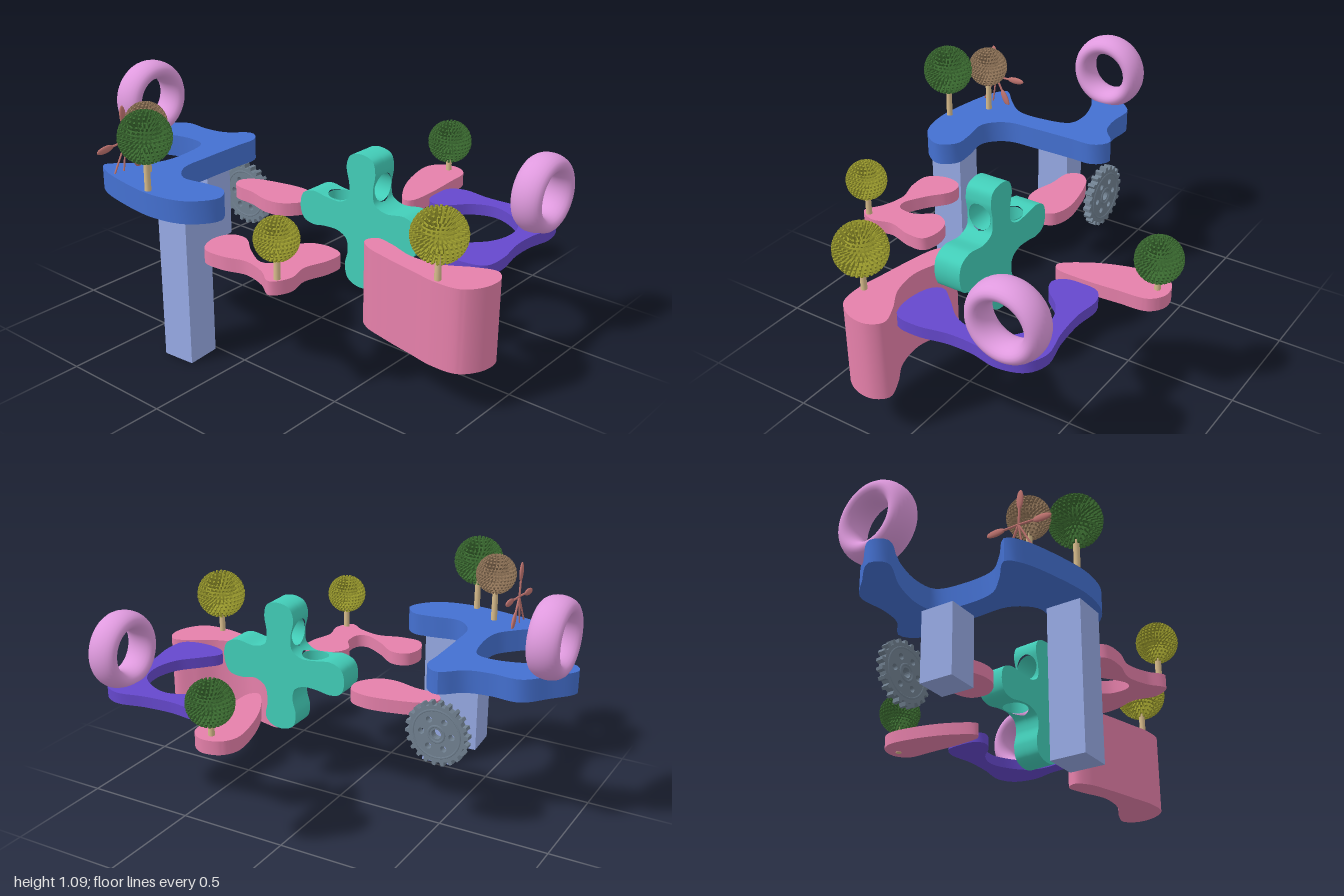
import * as THREE from 'three';
import { mergeGeometries, toCreasedNormals } from 'three/addons/utils/BufferGeometryUtils.js';

const mat = (color, side = THREE.FrontSide) => new THREE.MeshStandardMaterial({ color, side });
const PINK = 0xe580aa, BLUE = 0x4470d0, LEG = 0x98abe6, PURPLE = 0x6548cc, TEAL = 0x42cdb8,
  RING = 0xdf9ade, STEEL = 0x708090, GREEN = 0x3a6a30, OLIVE = 0x98982c, BROWN = 0x907458,
  TRUNK = 0xd8bc8c, PETAL = 0xc07470;

// closed smooth outline through a few points
function outline(points, n) {
  const curve = new THREE.CatmullRomCurve3(points.map(([a, b]) => new THREE.Vector3(a, b, 0)), true);
  return curve.getSpacedPoints(n).slice(0, n).map(p => new THREE.Vector2(p.x, p.y));
}

export function createModel() {
  const model = new THREE.Group();
  const add = (name, geometry, material, parent = model) => {
    const mesh = new THREE.Mesh(geometry, material);
    mesh.name = name;
    parent.add(mesh);
    return mesh;
  };

  // free-form slab, outline given as (x, z)
  function slab(name, color, bottom, top, points) {
    const g = new THREE.ExtrudeGeometry(new THREE.Shape(outline(points, 130)),
      { depth: top - bottom, bevelEnabled: false });
    g.rotateX(Math.PI / 2).translate(0, top, 0);
    add(name, toCreasedNormals(g, 0.6), mat(color));
  }

  slab('highPlatform', BLUE, 0.65, 0.75, [
    [-1, 0.21], [-0.92, 0.1], [-0.83, 0.005], [-0.7, 0.005], [-0.6, -0.015], [-0.5, -0.09],
    [-0.435, -0.04], [-0.43, 0.08], [-0.425, 0.27], [-0.41, 0.42], [-0.33, 0.5], [-0.2, 0.485],
    [-0.11, 0.485], [-0.055, 0.56], [-0.13, 0.67], [-0.28, 0.715], [-0.5, 0.695], [-0.65, 0.655],
    [-0.7, 0.615], [-0.61, 0.52], [-0.54, 0.43], [-0.535, 0.28], [-0.57, 0.165], [-0.66, 0.148],
    [-0.8, 0.185], [-0.96, 0.265]]);
  slab('backPad', PINK, 0.5, 0.56, [
    [0.08, -0.68], [0.12, -0.74], [0.2, -0.755], [0.26, -0.71], [0.275, -0.58], [0.285, -0.4],
    [0.275, -0.295], [0.245, -0.275], [0.165, -0.375], [0.1, -0.535]]);
  slab('leftPad', PINK, 0.505, 0.565, [
    [-0.46, 0.04], [-0.43, -0.01], [-0.29, -0.06], [-0.155, -0.075], [-0.08, -0.045], [-0.065, 0.035],
    [-0.13, 0.115], [-0.21, 0.13], [-0.315, 0.105], [-0.43, 0.09]]);
  slab('frontPad', PINK, 0.49, 0.55, [
    [-0.115, 0.55], [-0.09, 0.47], [-0.02, 0.455], [0.085, 0.53], [0.185, 0.58], [0.225, 0.56],
    [0.23, 0.48], [0.18, 0.39], [0.215, 0.32], [0.3, 0.295], [0.375, 0.32], [0.38, 0.4], [0.35, 0.51],
    [0.37, 0.61], [0.325, 0.685], [0.245, 0.64], [0.14, 0.615], [0.03, 0.645], [-0.07, 0.64]]);
  slab('deepBlock', PINK, 0.195, 0.56, [
    [0.38, 0.17], [0.405, 0.12], [0.485, 0.13], [0.62, 0.17], [0.755, 0.15], [0.86, 0.09],
    [0.95, 0.06], [0.995, 0.11], [0.99, 0.2], [0.93, 0.28], [0.82, 0.295], [0.7, 0.275],
    [0.54, 0.245], [0.43, 0.215]]);
  slab('bentPad', PURPLE, 0.51, 0.56, [
    [0.31, -0.44], [0.32, -0.51], [0.38, -0.545], [0.51, -0.535], [0.645, -0.545], [0.78, -0.57],
    [0.86, -0.53], [0.895, -0.42], [0.875, -0.3], [0.875, -0.19], [0.9, -0.05], [0.885, 0.05],
    [0.79, 0.08], [0.67, 0.055], [0.64, 0.01], [0.69, -0.06], [0.775, -0.16], [0.8, -0.27],
    [0.77, -0.37], [0.68, -0.44], [0.59, -0.465], [0.5, -0.43], [0.42, -0.345], [0.36, -0.325],
    [0.32, -0.36]]);

  // square legs, turned slightly
  for (const [name, x, y, z, h] of [['longLeg', -0.23, 0, 0.595, 0.65], ['shortLeg', -0.52, 0.33, 0.19, 0.32]]) {
    const leg = add(name, new THREE.BoxGeometry(0.148, h, 0.152), mat(LEG));
    leg.position.set(x, y + h / 2, z);
    leg.rotation.y = 0.08;
  }

  // upright widened rings
  for (const [name, x, y, z] of [['leftRing', -0.905, 0.895, 0.153], ['rightRing', 0.838, 0.7, -0.437]]) {
    const g = new THREE.TorusGeometry(0.132, 0.042, 24, 64).scale(1, 1, 1.67).rotateY(Math.PI / 2);
    add(name, g, mat(RING)).position.set(x, y, z);
  }

  // upright cross with one tunnel through the left arm and one through the top arm
  const cross = new THREE.Group();
  cross.name = 'cross';
  cross.position.z = 0.028;
  model.add(cross);
  const D = 0.0625, RX = 0.062, RZ = 0.054, HX = 0.14, HY = 0.745;
  const pts = outline([
    [-0.04, 0.57], [-0.025, 0.635], [0.03, 0.66], [0.1, 0.652], [0.18, 0.65], [0.225, 0.68],
    [0.23, 0.74], [0.215, 0.82], [0.235, 0.87], [0.29, 0.887], [0.35, 0.87], [0.365, 0.82],
    [0.355, 0.74], [0.365, 0.685], [0.42, 0.662], [0.52, 0.672], [0.575, 0.645], [0.59, 0.58],
    [0.565, 0.51], [0.5, 0.495], [0.42, 0.505], [0.37, 0.475], [0.36, 0.4], [0.37, 0.33],
    [0.34, 0.295], [0.28, 0.285], [0.225, 0.31], [0.21, 0.37], [0.225, 0.44], [0.215, 0.49],
    [0.17, 0.515], [0.1, 0.515], [0.03, 0.505], [-0.02, 0.52]], 420);
  const half = d => Math.abs(d) < RX ? RZ * Math.sqrt(1 - (d / RX) ** 2) : 0;
  const pos = [], idx = [], n = pts.length;
  pts.forEach((p, i) => {
    const h = p.x < 0.21 ? half(p.x - HX) : half(p.y - HY);
    for (const z of [-D, -h, h, D]) pos.push(p.x, p.y, z);
    const a = i * 4, b = ((i + 1) % n) * 4;
    for (const k of [0, 2]) idx.push(a + k, b + k + 1, b + k, a + k, a + k + 1, b + k + 1);
  });
  const wall = new THREE.BufferGeometry();
  wall.setAttribute('position', new THREE.Float32BufferAttribute(pos, 3));
  wall.setIndex(idx);
  wall.computeVertexNormals();
  add('crossWall', wall, mat(TEAL), cross);
  for (const s of [1, -1]) {
    const face = add('crossFace', new THREE.ShapeGeometry(new THREE.Shape(pts)), mat(TEAL), cross);
    face.position.z = s * D;
    if (s < 0) face.material.side = THREE.BackSide;
  }
  const tunnel = len => new THREE.CylinderGeometry(1, 1, len, 40, 1, true).scale(RX, 1, RZ);
  add('armTunnel', tunnel(0.137), mat(TEAL, THREE.DoubleSide), cross).position.set(HX, 0.583, 0);
  add('topTunnel', tunnel(0.13).rotateZ(Math.PI / 2), mat(TEAL, THREE.DoubleSide), cross).position.set(0.293, HY, 0);

  // toothed wheel with bolt holes, rim and hub
  const gear = new THREE.Group();
  gear.name = 'gear';
  gear.position.set(-0.503, 0.462, -0.056);
  model.add(gear);
  const teeth = 22, toothed = [];
  for (let i = 0; i < teeth; i++)
    for (const [f, r] of [[0, 0.128], [0.4, 0.128], [0.52, 0.145], [0.85, 0.145]]) {
      const a = (i + f) / teeth * Math.PI * 2;
      toothed.push(new THREE.Vector2(r * Math.cos(a), r * Math.sin(a)));
    }
  const disc = new THREE.Shape(toothed);
  disc.holes.push(new THREE.Path().absarc(0, 0, 0.022, 0, Math.PI * 2, true));
  for (let i = 0; i < 6; i++) {
    const a = i * Math.PI / 3;
    disc.holes.push(new THREE.Path().absarc(0.07 * Math.cos(a), 0.07 * Math.sin(a), 0.014, 0, Math.PI * 2, true));
  }
  const wheel = new THREE.ExtrudeGeometry(disc, { depth: 0.034, bevelEnabled: false, curveSegments: 10 });
  add('gearWheel', wheel.translate(0, 0, -0.017), mat(STEEL), gear);
  add('gearRim', new THREE.TorusGeometry(0.108, 0.01, 8, 48).scale(1, 1, 2.1), mat(STEEL), gear);
  add('gearHub', new THREE.TorusGeometry(0.036, 0.011, 8, 32).scale(1, 1, 2), mat(STEEL), gear);

  // trees: a trunk and a ball of radial spikes
  function tree(x, z, base, y, r, color) {
    const group = new THREE.Group();
    group.name = 'tree';
    group.position.set(x, 0, z);
    model.add(group);
    const h = y - base;
    add('trunk', new THREE.CylinderGeometry(0.012, 0.014, h, 12), mat(TRUNK), group).position.y = base + h / 2;
    const spikes = [new THREE.SphereGeometry(r * 0.68, 24, 16).toNonIndexed()], rows = 17;
    for (let j = 0; j <= rows; j++) {
      const polar = Math.PI * j / rows, count = Math.max(1, Math.round(34 * Math.sin(polar)));
      for (let i = 0; i < count; i++) {
        const s = new THREE.BoxGeometry(0.008, r * 0.45, 0.008).translate(0, r * 0.775, 0);
        spikes.push(s.rotateZ(polar).rotateY(i / count * Math.PI * 2).toNonIndexed());
      }
    }
    add('foliage', mergeGeometries(spikes), mat(color), group).position.y = y;
  }
  tree(-0.333, 0.692, 0.75, 0.98, 0.112, GREEN);
  tree(-0.473, 0.563, 0.76, 0.975, 0.09, BROWN);
  tree(0.335, 0.648, 0.55, 0.718, 0.09, OLIVE);
  tree(0.815, 0.272, 0.56, 0.747, 0.114, OLIVE);
  tree(0.18, -0.706, 0.497, 0.7, 0.1, GREEN);

  // flat flower on two thin stems
  const flower = new THREE.Group();
  flower.name = 'flower';
  flower.position.set(-0.577, 0.88, 0.59);
  model.add(flower);
  for (const a of [-0.1, 1.5, 3.1, 4.25]) {
    const petal = new THREE.SphereGeometry(1, 16, 10).scale(0.008, 0.016, 0.045).translate(0, 0, 0.112);
    const stalk = new THREE.CylinderGeometry(0.005, 0.005, 0.08, 8).rotateX(Math.PI / 2).translate(0, 0, 0.04);
    add('petal', mergeGeometries([petal, stalk]).rotateX(-a), mat(PETAL), flower);
  }
  for (const z of [0.02, 0.07]) {
    const path = new THREE.LineCurve3(new THREE.Vector3(), new THREE.Vector3(0, -0.13, z));
    add('stem', new THREE.TubeGeometry(path, 1, 0.004, 8), mat(PETAL), flower);
  }
  return model;
}
